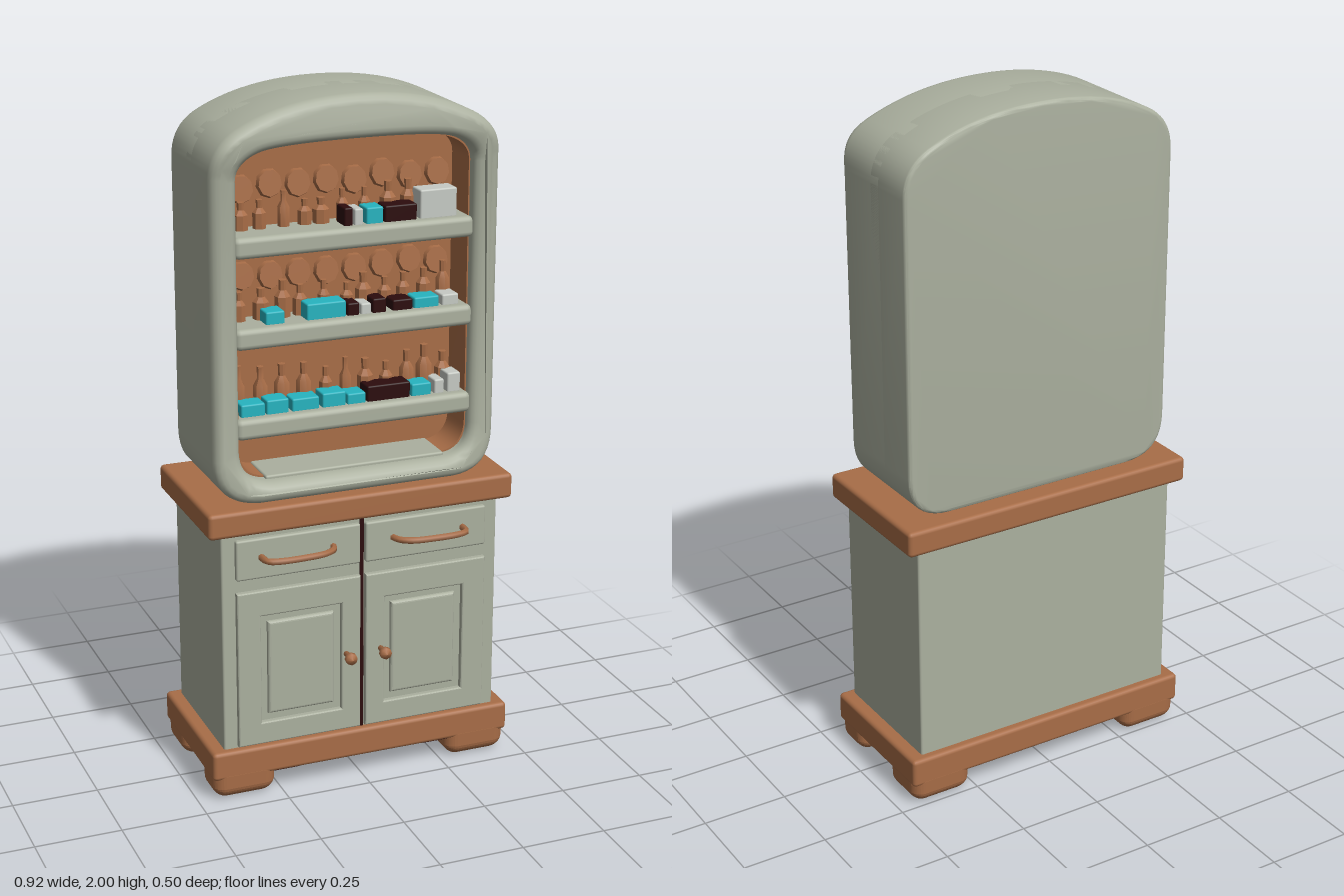
import * as THREE from 'three';
import { toCreasedNormals } from 'three/addons/utils/BufferGeometryUtils.js';
import { RoundedBoxGeometry } from 'three/addons/geometries/RoundedBoxGeometry.js';

const paint = (name, color, side = THREE.FrontSide) => {
  const m = new THREE.MeshStandardMaterial({ color, side });
  m.name = name;
  return m;
};

export function createModel() {
  const sage = paint('sage paint', 0xabb09f);
  const wood = paint('warm wood', 0xa86d47);
  const teal = paint('turquoise', 0x27b4c0);
  const dark = paint('dark maroon', 0x2c0c0d);
  const pale = paint('pale grey', 0xc6cac4);

  const root = new THREE.Group();
  root.name = 'dresser';

  const add = (name, geo, mat, x = 0, y = 0, z = 0, parent = root) => {
    const mesh = new THREE.Mesh(geo, mat);
    mesh.name = name;
    mesh.position.set(x, y, z);
    parent.add(mesh);
    return mesh;
  };
  // box given by its limits, with softened edges
  const block = (name, mat, x0, x1, y0, y1, z0, z1, r = 0.008, parent = root) =>
    add(name, new RoundedBoxGeometry(x1 - x0, y1 - y0, z1 - z0, 2, r), mat,
      (x0 + x1) / 2, (y0 + y1) / 2, (z0 + z1) / 2, parent);
  // extrusion between two z values with an inward bevel
  const slab = (shape, z0, z1, bevel) => {
    const g = new THREE.ExtrudeGeometry(shape, {
      depth: z1 - z0 - 2 * bevel, curveSegments: 10, bevelEnabled: bevel > 0,
      bevelSize: bevel, bevelThickness: bevel, bevelOffset: -bevel, bevelSegments: 4,
    });
    return g.translate(0, 0, z0 + bevel);
  };
  const rect = (T, x0, x1, y0, y1) => {
    const s = new T();
    s.moveTo(x0, y0); s.lineTo(x1, y0); s.lineTo(x1, y1); s.lineTo(x0, y1); s.closePath();
    return s;
  };

  // ---- base, feet, carcass and worktop ----
  block('plinth', wood, -0.46, 0.46, 0.065, 0.152, -0.25, 0.2, 0.012);
  for (const sx of [-1, 1]) {
    for (const [z0, z1] of [[0.07, 0.2], [-0.25, -0.09]]) {
      const g = new RoundedBoxGeometry(0.19, 0.11, z1 - z0, 4, 0.035);
      const p = g.attributes.position;
      for (let i = 0; i < p.count; i++) {
        const t = Math.max(0, -p.getY(i) / 0.055);
        p.setX(i, p.getX(i) * (1 - 0.14 * t * t));
        p.setZ(i, p.getZ(i) * (1 - 0.14 * t * t));
      }
      g.computeVertexNormals();
      add('foot', g, wood, sx * 0.362, 0.055, (z0 + z1) / 2);
      add('footShadowPlate', new THREE.BoxGeometry(0.09, 0.006, 0.1), dark, sx * 0.24, 0.0635, (z0 + z1) / 2);
    }
  }
  block('carcass', sage, -0.42, 0.42, 0.14, 0.82, -0.225, 0.178, 0.006);
  block('worktop', wood, -0.46, 0.46, 0.805, 0.88, -0.25, 0.2, 0.012);

  // ---- drawers and doors, mirrored ----
  for (const sx of [-1, 1]) {
    const side = (a, b) => (sx > 0 ? [a, b] : [-b, -a]);
    const [x0, x1] = side(0.008, 0.38);
    block('drawer', sage, x0, x1, 0.67, 0.79, 0.16, 0.192, 0.006);

    const door = rect(THREE.Shape, x0, x1, 0.158, 0.632);
    const [h0, h1] = side(0.066, 0.31);
    door.holes.push(rect(THREE.Path, h0, h1, 0.225, 0.555));
    add('doorFrame', slab(door, 0.165, 0.194, 0.005), sage);
    const [p0, p1] = side(0.088, 0.288);
    add('doorPanel', slab(rect(THREE.Shape, p0, p1, 0.247, 0.533), 0.165, 0.19, 0.009), sage);

    // bowed pull handle
    const pts = [[0.09, 0.185], [0.1, 0.215], [0.13, 0.235], [0.2, 0.243], [0.27, 0.241], [0.3, 0.23], [0.307, 0.185]]
      .map(([x, z]) => new THREE.Vector3(sx * x, 0.735, z));
    add('drawerHandle', new THREE.TubeGeometry(new THREE.CatmullRomCurve3(pts), 24, 0.01, 6), wood);

    const knob = new THREE.LatheGeometry([[0, 0], [0.008, 0], [0.008, 0.022], [0.018, 0.034], [0.017, 0.048], [0, 0.056]]
      .map(([r, y]) => new THREE.Vector2(r, y)), 8).rotateX(Math.PI / 2);
    add('doorKnob', knob, wood, sx * 0.053, 0.398, 0.193);
  }
  add('doorGap', new THREE.BoxGeometry(0.012, 0.65, 0.004), dark, 0, 0.475, 0.178);

  // ---- arched hutch ----
  // outline: half width, bottom, crown, bottom radius, shoulder start, shoulder end
  const arch = (T, w, y0, y1, r, ys, xe, ye) => {
    const s = new T();
    s.moveTo(-w + r, y0);
    s.lineTo(w - r, y0);
    s.quadraticCurveTo(w, y0, w, y0 + r);
    s.lineTo(w, ys);
    const cy = ys + (ye - ys) * 0.68;
    const cx = xe - (y1 - ye) / (ye - cy) * (w - xe);
    s.quadraticCurveTo(w, cy, xe, ye);
    s.quadraticCurveTo(cx, y1, 0, y1);
    s.quadraticCurveTo(-cx, y1, -xe, ye);
    s.quadraticCurveTo(-w, cy, -w, ys);
    s.lineTo(-w, y0 + r);
    s.quadraticCurveTo(-w, y0, -w + r, y0);
    return s;
  };
  const outer = (T) => arch(T, 0.422, 0.878, 2, 0.13, 1.8, 0.345, 1.927);
  const inner = (T, d = 0) => arch(T, 0.345 - d, 0.94 + d, 1.88 - d, 0.09, 1.79, 0.285 - d, 1.862 - d);

  add('hutchBack', toCreasedNormals(slab(outer(THREE.Shape), -0.19, 0, 0.012), 0.7), sage);

  const ring = outer(THREE.Shape);
  ring.holes.push(inner(THREE.Path));
  const frame = slab(ring, -0.08, 0.148, 0.028);
  const fp = frame.attributes.position;
  for (let i = 0; i < fp.count; i++) { // flared lower lip and swollen brow
    const x = fp.getX(i), y = fp.getY(i), z = fp.getZ(i);
    if (z <= 0) continue;
    const lip = 0.045 * THREE.MathUtils.clamp((1.03 - y) / 0.12, 0, 1) * Math.max(0, 1 - (x / 0.43) ** 2);
    const brow = 0.018 * Math.exp(-(((y - 1.88) / 0.07) ** 2));
    fp.setZ(i, z + (lip + brow) * z / 0.148);
  }
  add('hutchFrame', toCreasedNormals(frame, 0.7), sage);

  add('backPanel', slab(inner(THREE.Shape), 0, 0.004, 0), wood);
  const liner = inner(THREE.Shape);
  liner.holes.push(inner(THREE.Path, 0.004));
  add('innerLining', toCreasedNormals(slab(liner, 0, 0.115, 0), 0.7), wood);
  block('hutchFloor', sage, -0.27, 0.27, 0.93, 0.95, 0.002, 0.135, 0.006);

  // ---- shelves with jars, bottles and boxes ----
  let seed = 7;
  const rnd = () => (seed = (seed * 16807) % 2147483647) / 2147483647;
  const bottle = (h, r) => {
    const profile = [[0, 0], [r, 0], [r, h * 0.55], [r * 0.45, h * 0.72], [r * 0.5, h], [0, h]];
    return toCreasedNormals(new THREE.LatheGeometry(profile.map(([a, b]) => new THREE.Vector2(a, b)), 7), 0.5);
  };
  // goods: colour, x start, x end, height
  const rows = [
    { y: 1.12, tall: 0.115, goods: [[teal, -0.33, -0.26, 0.035], [teal, -0.255, -0.19, 0.04], [teal, -0.18, -0.1, 0.035],
      [teal, -0.09, -0.02, 0.04], [teal, -0.015, 0.04, 0.03], [dark, 0.045, 0.175, 0.045], [teal, 0.18, 0.24, 0.035],
      [pale, 0.25, 0.28, 0.04], [pale, 0.29, 0.33, 0.055]] },
    { y: 1.378, tall: 0.1, goods: [[teal, -0.255, -0.2, 0.035], [teal, -0.135, -0.02, 0.045], [dark, -0.015, 0.02, 0.035],
      [pale, 0.025, 0.055, 0.03], [dark, 0.06, 0.1, 0.04], [dark, 0.12, 0.18, 0.03], [teal, 0.185, 0.26, 0.03],
      [pale, 0.27, 0.32, 0.03]] },
    { y: 1.633, tall: 0.09, goods: [[dark, -0.025, 0, 0.05], [pale, 0.005, 0.03, 0.045], [teal, 0.04, 0.09, 0.045],
      [dark, 0.095, 0.19, 0.045], [pale, 0.2, 0.31, 0.08]] },
  ];
  rows.forEach(({ y, tall, goods }, row) => {
    block('shelf', sage, -0.352, 0.352, y - 0.06, y, 0, 0.138, 0.016);
    for (const [mat, x0, x1, h] of goods) block('shelfBox', mat, x0, x1, y - 0.004, y + h, 0.05, 0.11, 0.005);
    for (let i = 0; i < 11; i++) {
      const x = -0.305 + i * 0.061 + (rnd() - 0.5) * 0.02;
      add('bottle', bottle(tall * (0.75 + 0.4 * rnd()), 0.016 + 0.008 * rnd()), wood, x, y, 0.042);
    }
    // plates and jars leaning on the back panel
    if (row > 0) {
      for (let i = 0; i < 8; i++) {
        const jar = new THREE.CylinderGeometry(0.034, 0.038, 0.014, 9).rotateX(Math.PI / 2 - 0.12);
        add('plate', jar, wood, -0.29 + i * 0.083, y + 0.1 + rnd() * 0.02, 0.014).scale.y = 1.1;
      }
    }
  });
  return root;
}
